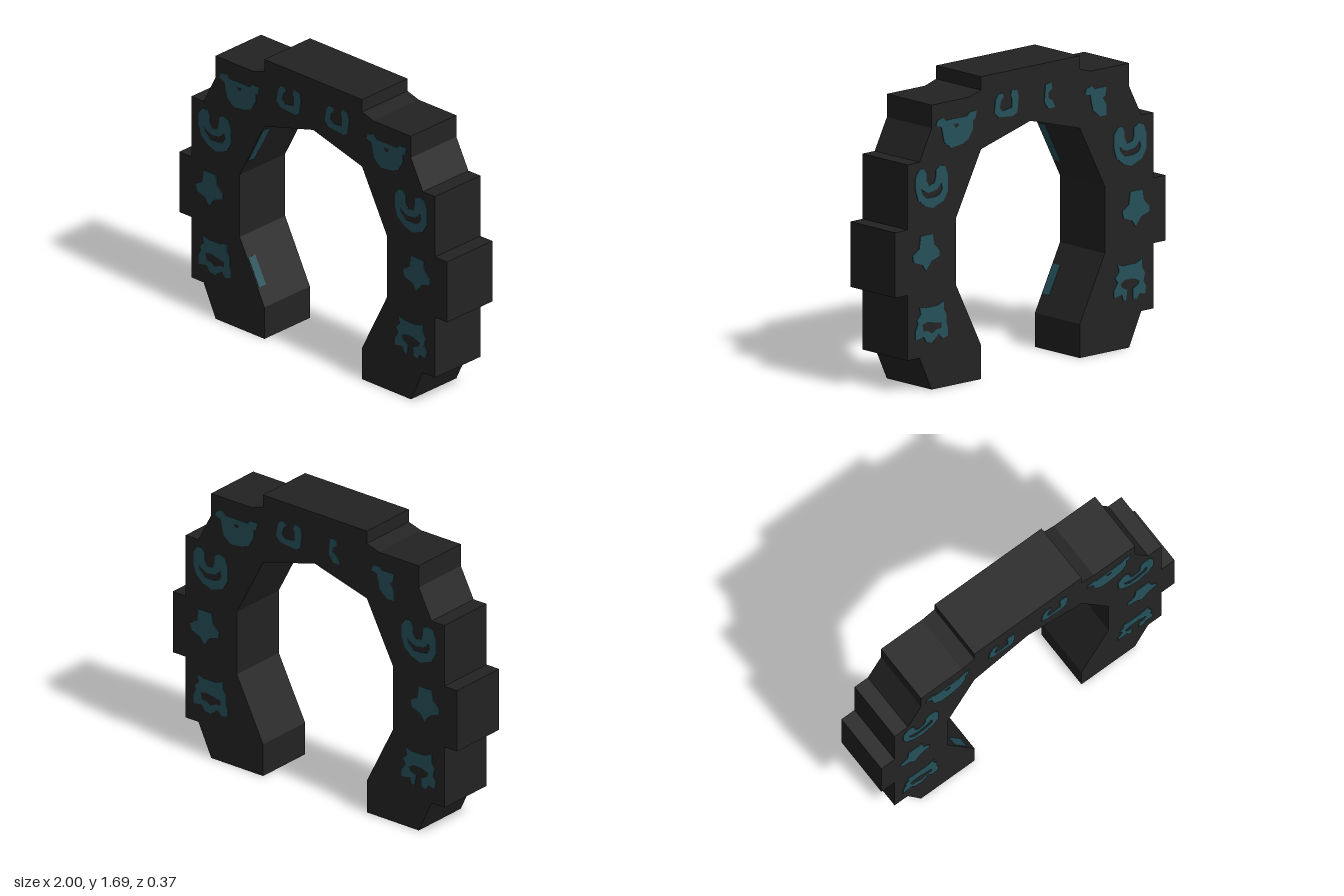
import * as THREE from 'three';

const HALF = 0.18; // half the depth of the arch

const stone = new THREE.MeshStandardMaterial({ color: 0x232323 });
stone.name = 'dark stone';
const teal = new THREE.MeshStandardMaterial({ color: 0x25505a });
teal.name = 'teal rune';

const toVectors = (points, scale, mirror = 1) =>
  points.map(([x, y]) => new THREE.Vector2(x * scale * mirror, y * scale));

// Arch segments for the +x half, as front outlines
const segments = {
  Shoulder: [[0.365, 1.285], [0.82, 1.285], [0.73, 1.46], [0.73, 1.59], [0.45, 1.59], [0.365, 1.615]],
  UpperBlock: [[0.55, 0.92], [0.91, 0.92], [0.91, 1.285], [0.365, 1.285], [0.55, 0.93]],
  MiddleBlock: [[0.55, 0.555], [1, 0.555], [1, 0.92], [0.55, 0.92]],
  LowerBlock: [[0.365, 0.19], [0.91, 0.19], [0.91, 0.555], [0.55, 0.555]],
  Foot: [[0.365, 0], [0.73, 0], [0.82, 0.19], [0.365, 0.19]],
};
const crown = [[-0.365, 1.285], [0, 1.385], [0.365, 1.285], [0.365, 1.69], [-0.365, 1.69]];

// Rune outlines and holes, in hundredths of a unit around their own centre
const runes = {
  hook: {
    outline: [[-6, 7], [-3, 7], [-2, 5], [-4, 3], [-5, -1], [-3, -3], [4, -2], [4, 3], [3, 5],
      [4, 8], [8, 7], [9, 3], [8, -5], [5, -7], [-6, -6], [-9, -3], [-8, 4]],
  },
  halfHook: {
    outline: [[-7, 7], [-3, 7], [-2, 4], [-5, 2], [-5, -1], [-2, -3], [0, -7], [-5, -7], [-8, -3]],
  },
  bowl: {
    outline: [[-14, 7], [-10, 8], [-8, 6], [8, 6], [10, 8], [15, 8], [14, 4], [12, 3], [12, -2],
      [9, -7], [4, -9], [-4, -10], [-9, -6], [-10, -2], [-11, 3], [-15, 4]],
    hole: [[-2, 3], [2, 3], [1, 1], [-1, 1]],
  },
  halfBowl: {
    outline: [[-14, 7], [-10, 8], [-8, 6], [1, 6], [0, 1], [-2, 0], [1, -4], [1, -10],
      [-4, -10], [-9, -6], [-10, -2], [-11, 3], [-15, 4]],
  },
  crescent: {
    outline: [[-9, 11], [-6, 11], [-4, 8], [-4, 4], [-2, 1], [2, 2], [3, 5], [3, 9], [6, 11],
      [10, 10], [12, 5], [12, -4], [9, -9], [1, -12], [-5, -10], [-10, -6], [-12, 0], [-12, 7]],
    hole: [[-8, 0], [-7, -3], [-4, -6], [2, -6], [6, -5], [8, -2], [7, 1], [4, -2], [-2, -3], [-5, -2]],
  },
  arrow: {
    outline: [[-4, 11], [5, 11], [6, 5], [10, 1], [10, -2], [4, -4], [0, -9], [-3, -5], [-9, -3],
      [-10, 1], [-5, 4]],
  },
  mask: {
    outline: [[-9, 11], [-5, 10], [4, 10], [9, 12], [9, 7], [11, 4], [11, -1], [12, -4], [12, -8],
      [8, -9], [5, -6], [0, -10], [-4, -9], [-6, -6], [-12, -7], [-12, -2], [-10, 2], [-11, 4], [-8, 7]],
    hole: [[-7, 1], [-3, 2], [2, 1], [7, 0], [7, -3], [4, -3], [0, -5], [-3, -3], [-6, -3]],
  },
  openMask: {
    outline: [[-9, 11], [-5, 10], [4, 10], [9, 12], [9, 7], [11, 4], [10, -1], [12, -4], [11, -8],
      [7, -7], [5, -10], [2, -9], [2, -4], [6, -2], [7, 0], [2, 2], [-4, 2], [-7, 0], [-6, -2],
      [-2, -4], [-3, -10], [-5, -9], [-6, -6], [-12, -7], [-12, -3], [-9, 1], [-11, 4], [-8, 7]],
  },
};

// Rune slots: distance from the middle, height
const slots = [[0.18, 1.503], [0.55, 1.428], [0.733, 1.134], [0.775, 0.76], [0.733, 0.364]];
const leftSet = ['hook', 'bowl', 'crescent', 'arrow', 'mask'];
const frontRightSet = ['hook', 'bowl', 'crescent', 'arrow', 'openMask'];
const backRightSet = ['halfHook', 'halfBowl', 'crescent', 'arrow', 'openMask'];

function segment(name, points, mirror) {
  const geometry = new THREE.ExtrudeGeometry(new THREE.Shape(toVectors(points, 1, mirror)), {
    depth: HALF * 2, bevelEnabled: false,
  });
  geometry.translate(0, 0, -HALF);
  const mesh = new THREE.Mesh(geometry, stone);
  mesh.name = name;
  return mesh;
}

function runePlate(kind, x, y) {
  const { outline, hole } = runes[kind];
  const shape = new THREE.Shape(toVectors(outline, 0.01));
  if (hole) shape.holes.push(new THREE.Path(toVectors(hole, 0.01)));
  const geometry = new THREE.ExtrudeGeometry(shape, { depth: 0.004, bevelEnabled: false });
  const mesh = new THREE.Mesh(geometry, teal);
  mesh.name = kind + 'Rune';
  mesh.position.set(x, y, HALF);
  return mesh;
}

// One face of runes, laid out as seen when looking at that face
function runeFace(name, rightSet) {
  const group = new THREE.Group();
  group.name = name;
  slots.forEach(([x, y], i) => {
    group.add(runePlate(leftSet[i], -x, y), runePlate(rightSet[i], x, y));
  });
  return group;
}

// Thin mark lying on a sloping inner wall, between two points
function innerMark(name, [x0, y0], [x1, y1]) {
  const length = Math.hypot(x1 - x0, y1 - y0);
  const mesh = new THREE.Mesh(new THREE.BoxGeometry(length, 0.006, 0.055), teal);
  mesh.name = name;
  mesh.position.set((x0 + x1) / 2, (y0 + y1) / 2, 0.145);
  mesh.rotation.z = Math.atan2(y1 - y0, x1 - x0);
  return mesh;
}

export function createModel() {
  const model = new THREE.Group();
  model.name = 'runeArch';

  // Stone arch
  model.add(segment('crown', crown, 1));
  for (const [side, mirror] of [['left', 1], ['right', -1]]) {
    for (const [name, points] of Object.entries(segments)) {
      model.add(segment(side + name, points, mirror));
    }
  }

  // Runes on both faces
  const back = runeFace('backRunes', backRightSet);
  back.rotation.y = Math.PI;
  model.add(runeFace('frontRunes', frontRightSet), back);

  // Marks inside the right leg
  model.add(innerMark('upperInnerMark', [-0.5, 1.025], [-0.385, 1.25]));
  model.add(innerMark('lowerInnerMark', [-0.495, 0.445], [-0.415, 0.29]));
  return model;
}
